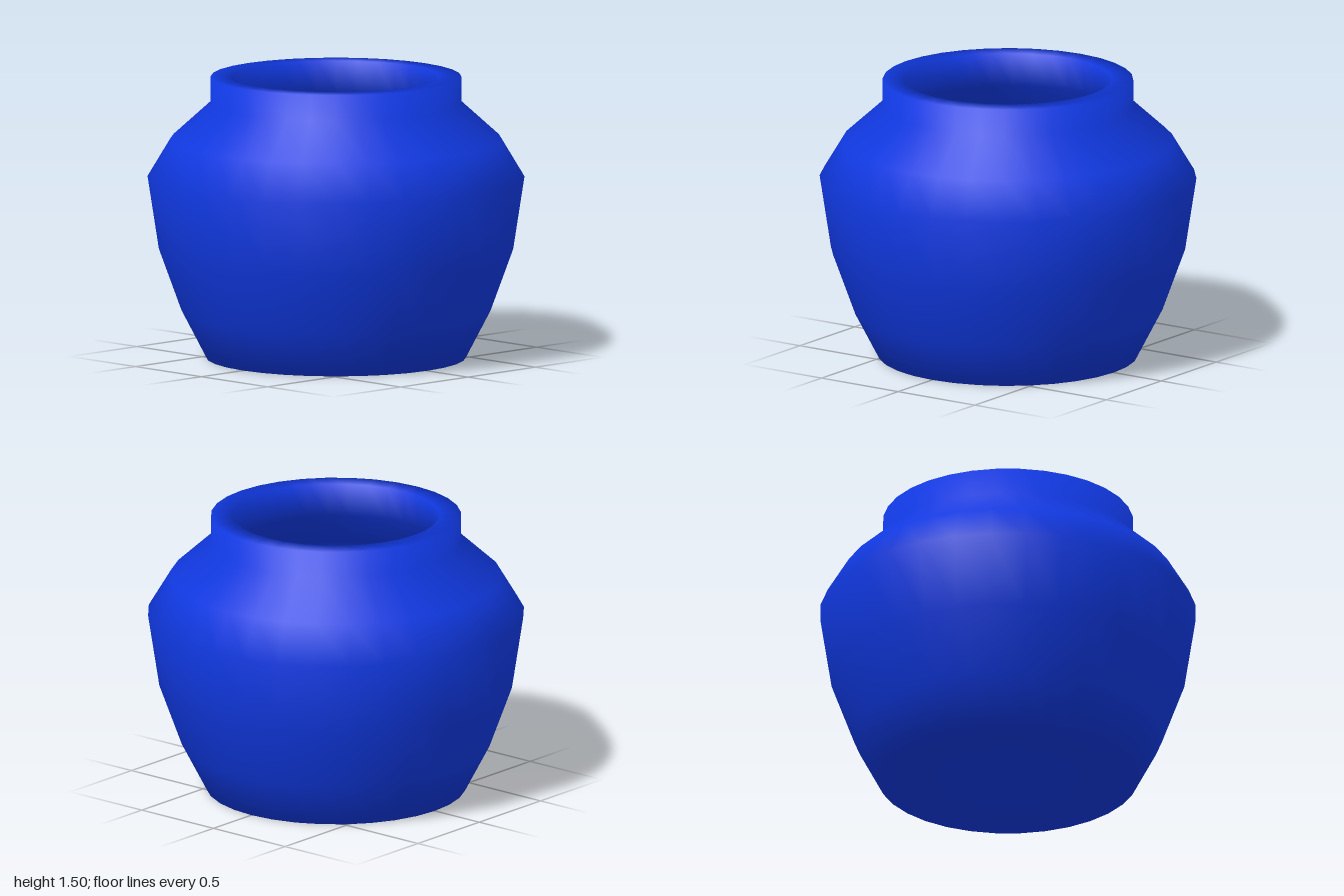
import * as THREE from 'three';

export function createModel() {
  const group = new THREE.Group();
  group.name = 'pot';

  // One closed profile: base, outer wall, neck, lip, then down the inner wall to the floor
  const profile = [
    [0, 0], [0.69, 0], [0.82, 0.25], [0.94, 0.58], [1, 0.97], [0.88, 1.17],
    [0.665, 1.365], [0.665, 1.505], [0.55, 1.505], [0.55, 1.33],
    [0.79, 1.11], [0.89, 0.95], [0.83, 0.6], [0.72, 0.3], [0.62, 0.1], [0, 0.1],
  ].map(([r, y]) => new THREE.Vector2(r, y));

  const material = new THREE.MeshStandardMaterial({ color: 0x1038e0 });
  const body = new THREE.Mesh(new THREE.LatheGeometry(profile, 32), material);
  body.name = 'potBody';
  group.add(body);
  return group;
}
